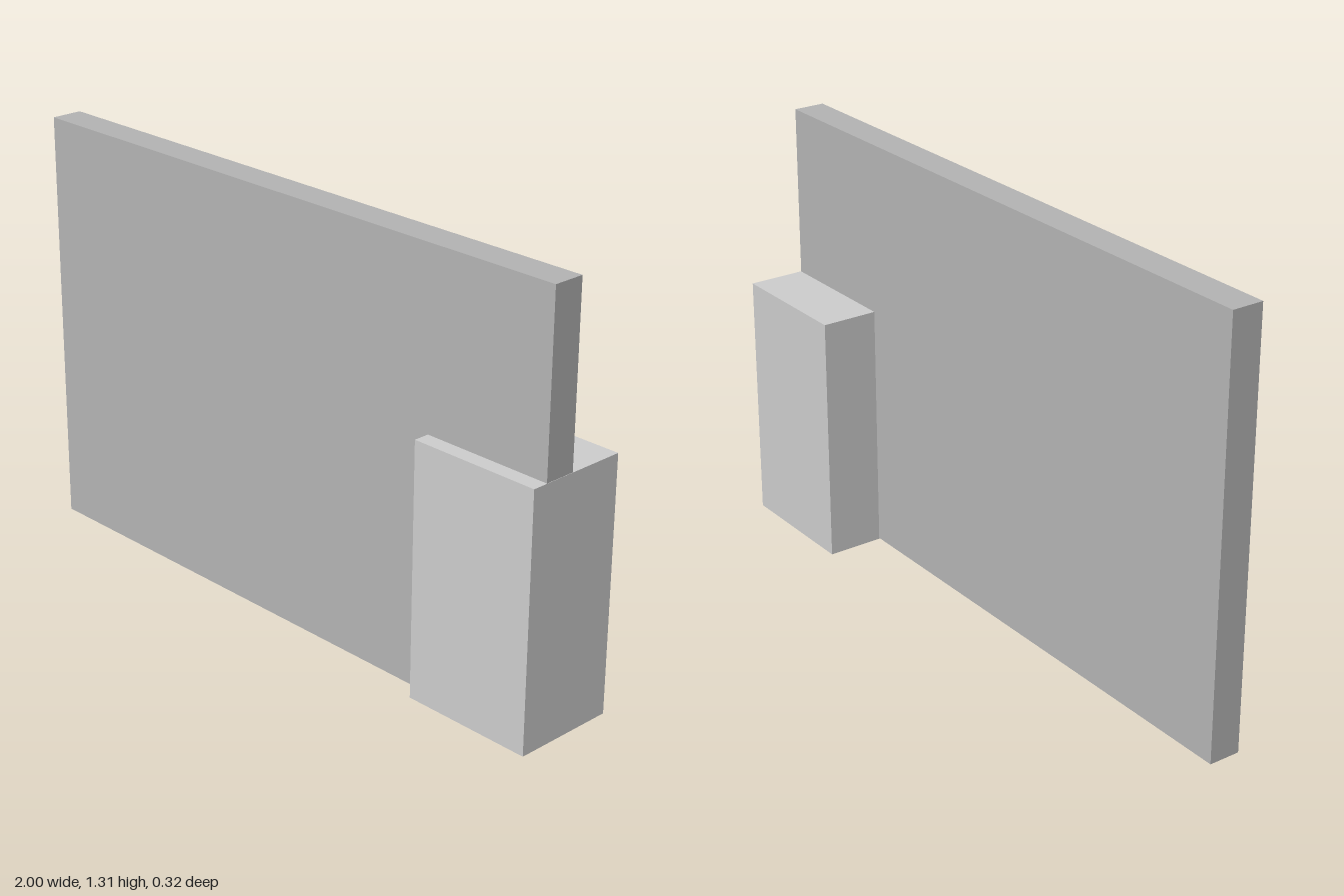
import * as THREE from 'three';

// Box given by its minimum and maximum corners
function block(name, min, max, color) {
  const size = max.map((v, i) => v - min[i]);
  const mesh = new THREE.Mesh(
    new THREE.BoxGeometry(...size),
    new THREE.MeshStandardMaterial({ color })
  );
  mesh.position.set(...min.map((v, i) => (v + max[i]) / 2));
  mesh.name = name;
  return mesh;
}

export function createModel() {
  const model = new THREE.Group();
  model.name = 'wallWithPier';

  // Thin upright wall, ending just inside the pier's outer face
  model.add(block('wallPanel', [-1, 0.003, 0.015], [0.999, 1.306, 0.113], 0xb2b2b2));

  // Thicker, lower pier wrapped around the wall's left end
  model.add(block('endPier', [0.583, 0, -0.162], [1, 0.775, 0.162], 0xcccccc));

  return model;
}
